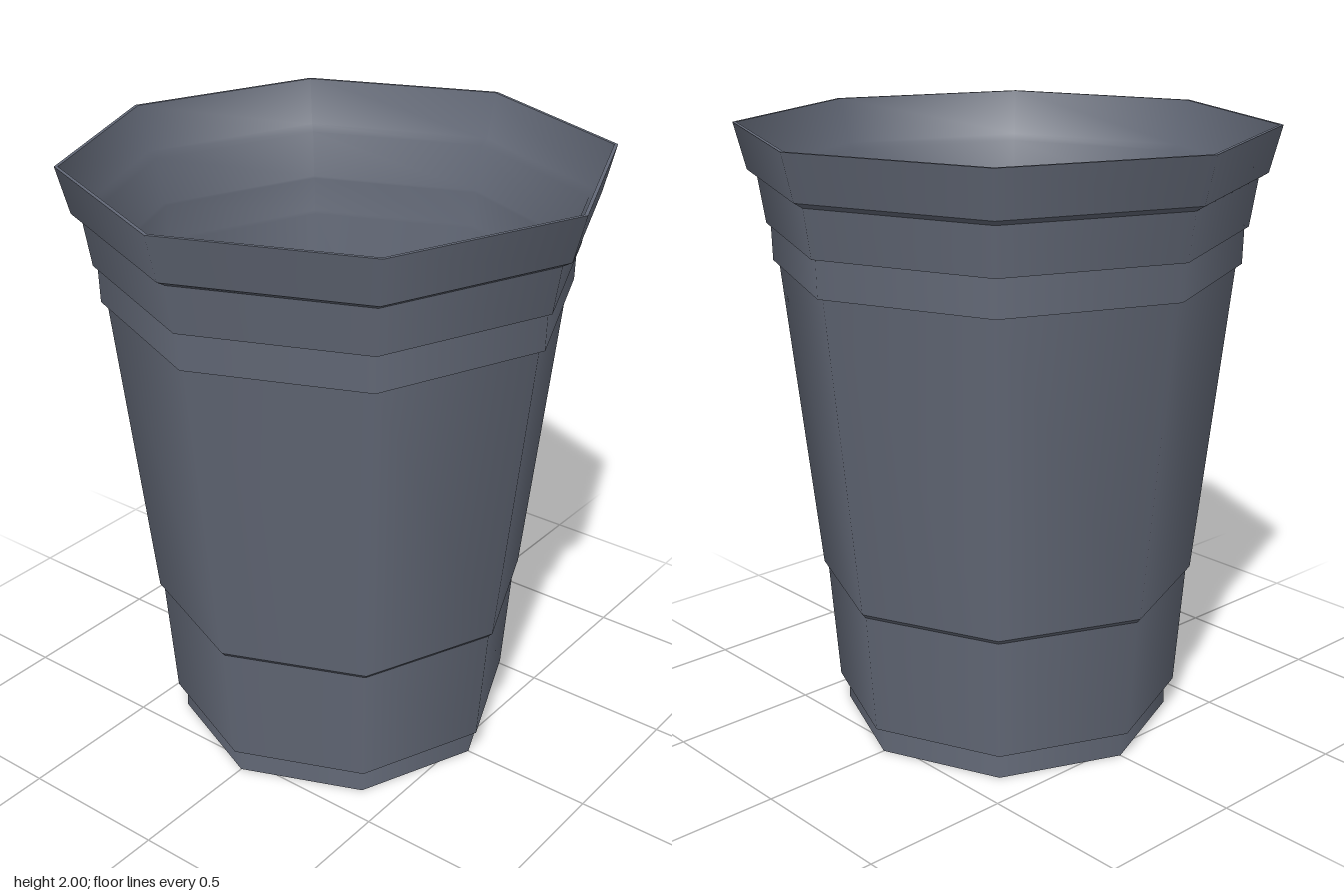
import * as THREE from 'three';
import { mergeGeometries } from 'three/addons/utils/BufferGeometryUtils.js';

const SIDES = 8;
const WALL = 0.012;

// Lathe of a [radius, height] profile, smooth around and along
const lathe = (profile) =>
  new THREE.LatheGeometry(profile.map(([r, y]) => new THREE.Vector2(r, y)), SIDES);

// Same, but with a hard edge at every profile point
const creasedLathe = (profile) =>
  mergeGeometries(profile.slice(1).map((p, i) => lathe([profile[i], p])));

export function createModel() {
  const cup = new THREE.Group();
  cup.name = 'cup';
  const plastic = new THREE.MeshStandardMaterial({ color: 0x626876 });
  plastic.name = 'slate grey plastic';

  const add = (name, geometry) => {
    const mesh = new THREE.Mesh(geometry, plastic);
    mesh.name = name;
    cup.add(mesh);
  };

  // Stepped outside, from the foot to the flared lip
  const outer = [
    [0.549, 0], [0.545, 0.085],
    [0.577, 0.09], [0.608, 0.495],
    [0.622, 0.51], [0.735, 1.553],
    [0.754, 1.557], [0.757, 1.675],
    [0.771, 1.678], [0.795, 1.832],
    [0.826, 1.85], [0.865, 2],
  ];
  // Base with a shallow raised ring around a flat centre
  const base = [[0, 0.02], [0.18, 0.02], [0.28, 0.035], [0.549, 0]];

  // Inside follows the outside at wall thickness
  const inner = outer.map(([r, y], i) => [r - WALL, i === 0 ? WALL : y]).reverse();
  const floor = base.map(([r, y]) => [r === 0 ? 0 : Math.min(r, 0.549 - WALL), y + WALL]).reverse();

  add('underside', creasedLathe(base));
  add('outerWall', creasedLathe(outer));
  add('rim', lathe([outer[outer.length - 1], inner[0]]));
  add('innerWall', lathe(inner));
  add('floor', creasedLathe(floor));
  return cup;
}
